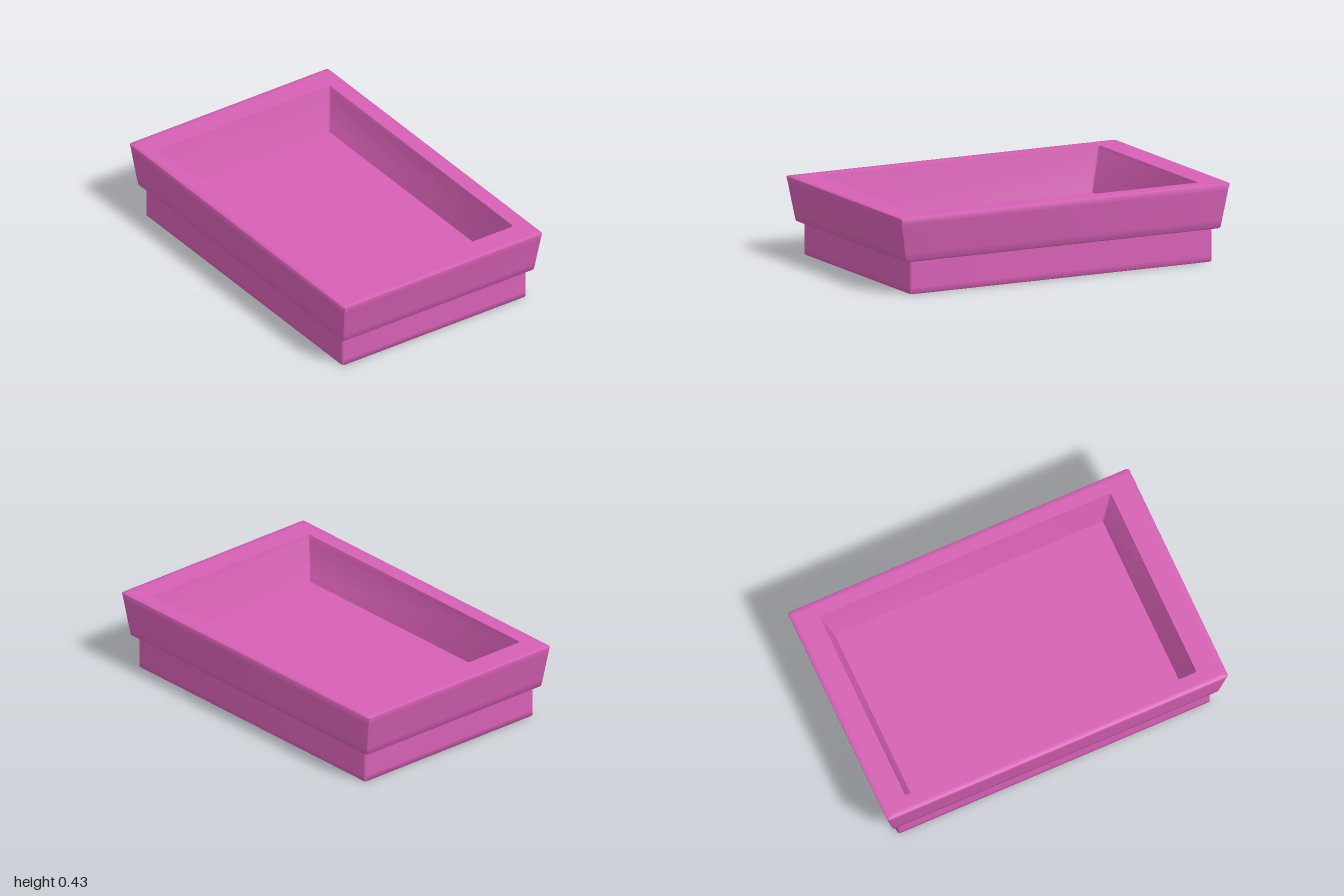
import * as THREE from 'three';
import { toCreasedNormals } from 'three/addons/utils/BufferGeometryUtils.js';

const CORNER = 0.012, STEPS = 3;

// Points of a rounded rectangle, counted from +x towards +z
function ring(hx, hz, y) {
  const r = Math.min(CORNER, hx, hz), points = [];
  [[1, 1], [-1, 1], [-1, -1], [1, -1]].forEach(([sx, sz], q) => {
    for (let k = 0; k <= STEPS; k++) {
      const a = (q + k / STEPS) * Math.PI / 2;
      points.push(sx * (hx - r) + r * Math.cos(a), y, sz * (hz - r) + r * Math.sin(a));
    }
  });
  return points;
}

// Skin a profile of [half width, half depth, height] rings, going up the outside
function loft(profile) {
  const n = 4 * (STEPS + 1), index = [];
  const positions = profile.flatMap(p => ring(...p));
  for (let i = 0; i < profile.length - 1; i++) {
    for (let j = 0; j < n; j++) {
      const a = i * n + j, b = i * n + (j + 1) % n, c = a + n, d = b + n;
      if (profile[i][0] > 0) index.push(a, c, b);
      if (profile[i + 1][0] > 0) index.push(b, c, d);
    }
  }
  const geometry = new THREE.BufferGeometry();
  geometry.setAttribute('position', new THREE.Float32BufferAttribute(positions, 3));
  geometry.setIndex(index);
  return toCreasedNormals(geometry, 0.95);
}

export function createModel() {
  const model = new THREE.Group();
  model.name = 'tray';
  const material = new THREE.MeshStandardMaterial({ color: 0xd660b4 });

  const add = (name, profile) => {
    const mesh = new THREE.Mesh(loft(profile), material);
    mesh.name = name;
    model.add(mesh);
  };

  // Plinth with softened lower edge
  add('base', [
    [0, 0, 0],
    [0.88, 0.565, 0],
    [0.91, 0.595, 0],
    [0.915, 0.6, 0.005],
    [0.915, 0.6, 0.035],
    [0.915, 0.6, 0.15],
    [0.915, 0.6, 0.184],
  ]);

  // Flared wall, flat rim and sloping recess down to the floor
  add('basin', [
    [0.9, 0.585, 0.183],
    [0.95, 0.62, 0.183],
    [0.956, 0.625, 0.188],
    [0.964, 0.63, 0.23],
    [0.992, 0.645, 0.39],
    [0.999, 0.649, 0.426],
    [0.996, 0.646, 0.43],
    [0.97, 0.62, 0.43],
    [0.853, 0.558, 0.43],
    [0.847, 0.553, 0.4],
    [0.795, 0.518, 0.22],
    [0.785, 0.51, 0.187],
    [0, 0, 0.187],
  ]);

  return model;
}
